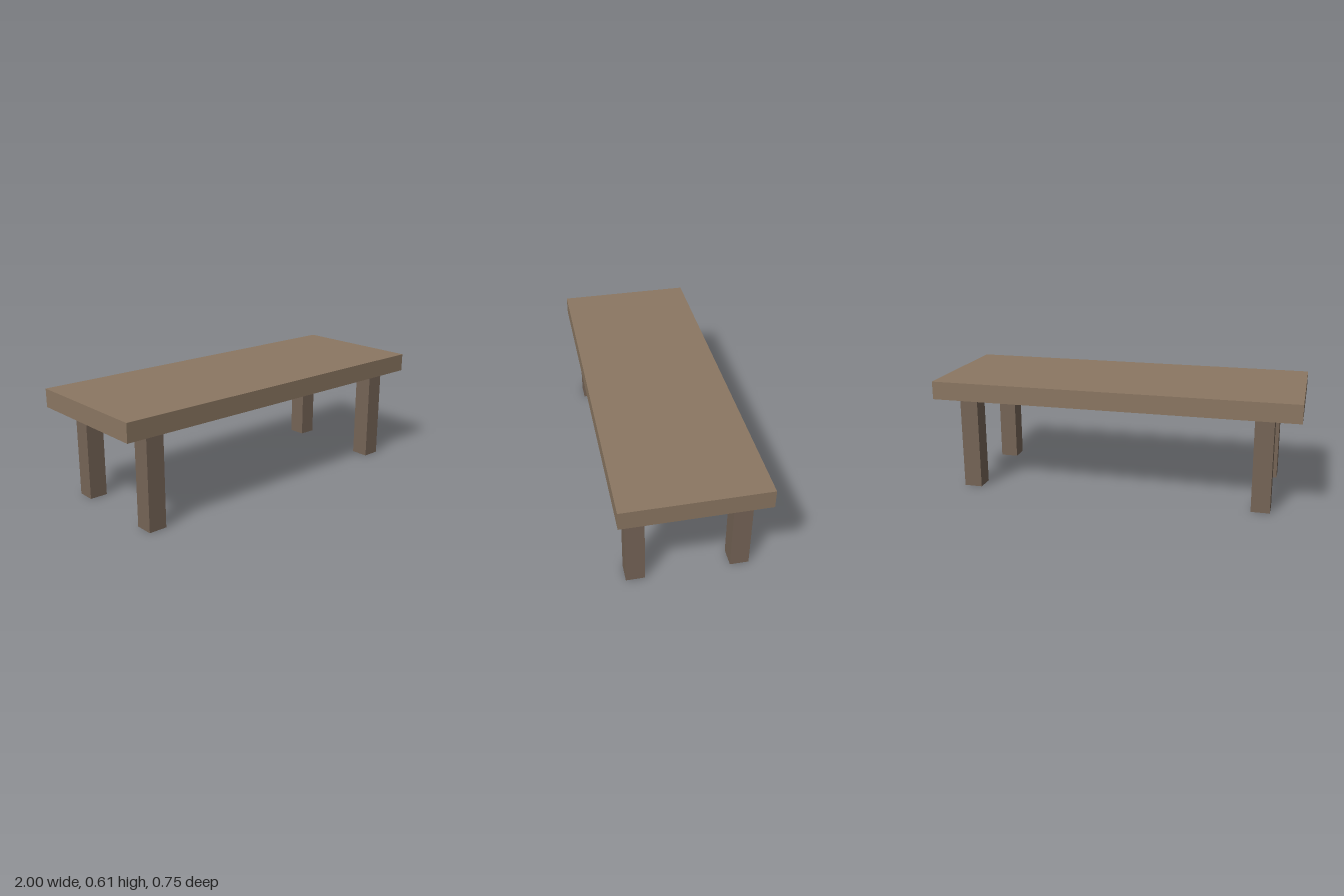
import * as THREE from 'three';

const LEG_HEIGHT = 0.513;
const TOP_THICKNESS = 0.1;

export function createModel() {
  const table = new THREE.Group();
  table.name = 'table';

  const topWood = new THREE.MeshStandardMaterial({ color: 0x8b7762 });
  const legWood = new THREE.MeshStandardMaterial({ color: 0x766557 });

  // Slab top
  const top = new THREE.Mesh(new THREE.BoxGeometry(2, TOP_THICKNESS, 0.748), topWood);
  top.name = 'tableTop';
  top.position.y = LEG_HEIGHT + TOP_THICKNESS / 2;
  table.add(top);

  // Four square legs, inset from the corners
  const legGeometry = new THREE.BoxGeometry(0.1, LEG_HEIGHT, 0.1);
  for (const [side, x] of [['Left', 0.812], ['Right', -0.812]]) {
    for (const [end, z] of [['front', 0.274], ['back', -0.274]]) {
      const leg = new THREE.Mesh(legGeometry, legWood);
      leg.name = `${end}${side}Leg`;
      leg.position.set(x, LEG_HEIGHT / 2, z);
      table.add(leg);
    }
  }

  return table;
}
